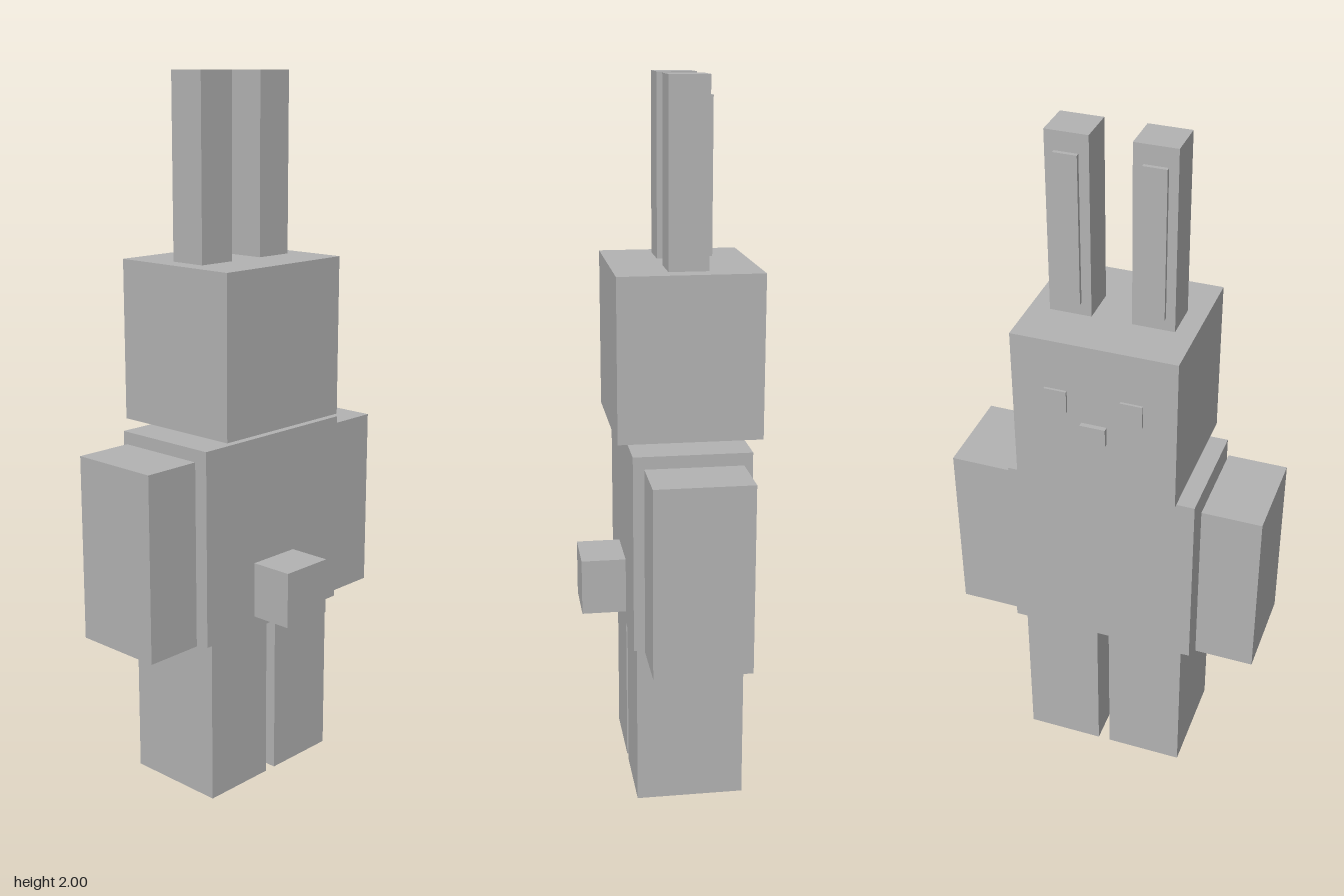
import * as THREE from 'three';

export function createModel() {
  const model = new THREE.Group();
  model.name = 'blockRabbit';

  const grey = new THREE.MeshStandardMaterial({ color: 0xb2b2b2 });
  grey.name = 'grey';

  // Axis-aligned box given by its [min, max] range on each axis
  function block(name, [x0, x1], [y0, y1], [z0, z1]) {
    const mesh = new THREE.Mesh(new THREE.BoxGeometry(x1 - x0, y1 - y0, z1 - z0), grey);
    mesh.position.set((x0 + x1) / 2, (y0 + y1) / 2, (z0 + z1) / 2);
    mesh.name = name;
    model.add(mesh);
  }

  // Same box on both sides of the body
  function pair(name, [x0, x1], y, z) {
    block(name + 'Left', [x0, x1], y, z);
    block(name + 'Right', [-x1, -x0], y, z);
  }

  // Trunk, head and tail; the face looks towards -z
  block('body', [-0.269, 0.269], [0.472, 1.027], [-0.199, 0.124]);
  block('head', [-0.225, 0.225], [1.049, 1.499], [-0.236, 0.159]);
  block('tail', [-0.081, 0.081], [0.509, 0.668], [0.124, 0.249]);

  // Limbs
  pair('arm', [0.281, 0.45], [0.472, 0.996], [-0.173, 0.095]);
  pair('leg', [0.018, 0.241], [0, 0.472], [-0.188, 0.113]);

  // Ears with raised inner panels
  pair('ear', [0.055, 0.17], [1.499, 2], [-0.094, 0.015]);
  pair('innerEar', [0.082, 0.145], [1.535, 1.948], [-0.105, -0.094]);

  // Face
  pair('eye', [0.073, 0.134], [1.291, 1.355], [-0.243, -0.236]);
  block('nose', [-0.035, 0.035], [1.211, 1.264], [-0.25, -0.236]);

  return model;
}
